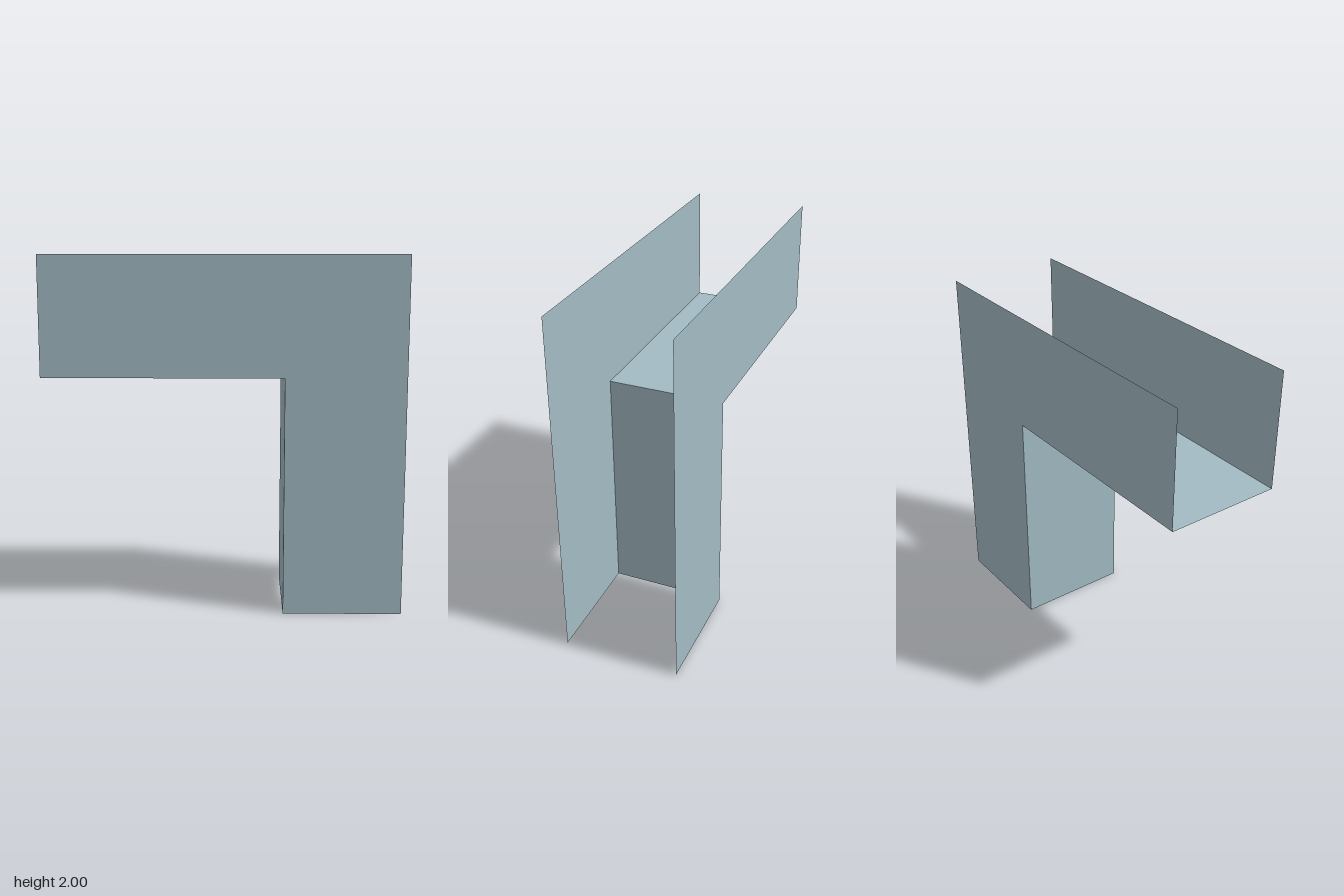
import * as THREE from 'three';

export function createModel() {
  const group = new THREE.Group();
  group.name = 'elbowChannel';
  const sheetMetal = new THREE.MeshStandardMaterial({ color: 0xa3bbc4, side: THREE.DoubleSide });
  sheetMetal.name = 'pale blue grey sheet metal';

  const half = 0.33;        // half the channel depth
  const innerX = 0.335;     // inner face of the upright arm
  const innerY = 1.335;     // underside of the horizontal arm

  const add = (name, geometry) => {
    const mesh = new THREE.Mesh(geometry, sheetMetal);
    mesh.name = name;
    group.add(mesh);
    return mesh;
  };

  // L-shaped side walls
  const outline = new THREE.Shape([
    [-1, innerY], [innerX, innerY], [innerX, 0], [1, 0], [1, 2], [-1, 2],
  ].map(([x, y]) => new THREE.Vector2(x, y)));
  for (const [name, z] of [['frontWall', half], ['backWall', -half]]) {
    const wall = add(name, new THREE.ShapeGeometry(outline));
    wall.position.z = z;
    if (z < 0) wall.geometry.scale(1, 1, 1);
  }

  // Floor of the horizontal arm
  const floor = add('horizontalFloor', new THREE.PlaneGeometry(1 + innerX, 2 * half).rotateX(-Math.PI / 2));
  floor.position.set((innerX - 1) / 2, innerY, 0);

  // Web of the upright arm
  const web = add('uprightWeb', new THREE.PlaneGeometry(2 * half, innerY).rotateY(Math.PI / 2));
  web.position.set(innerX, innerY / 2, 0);

  return group;
}
